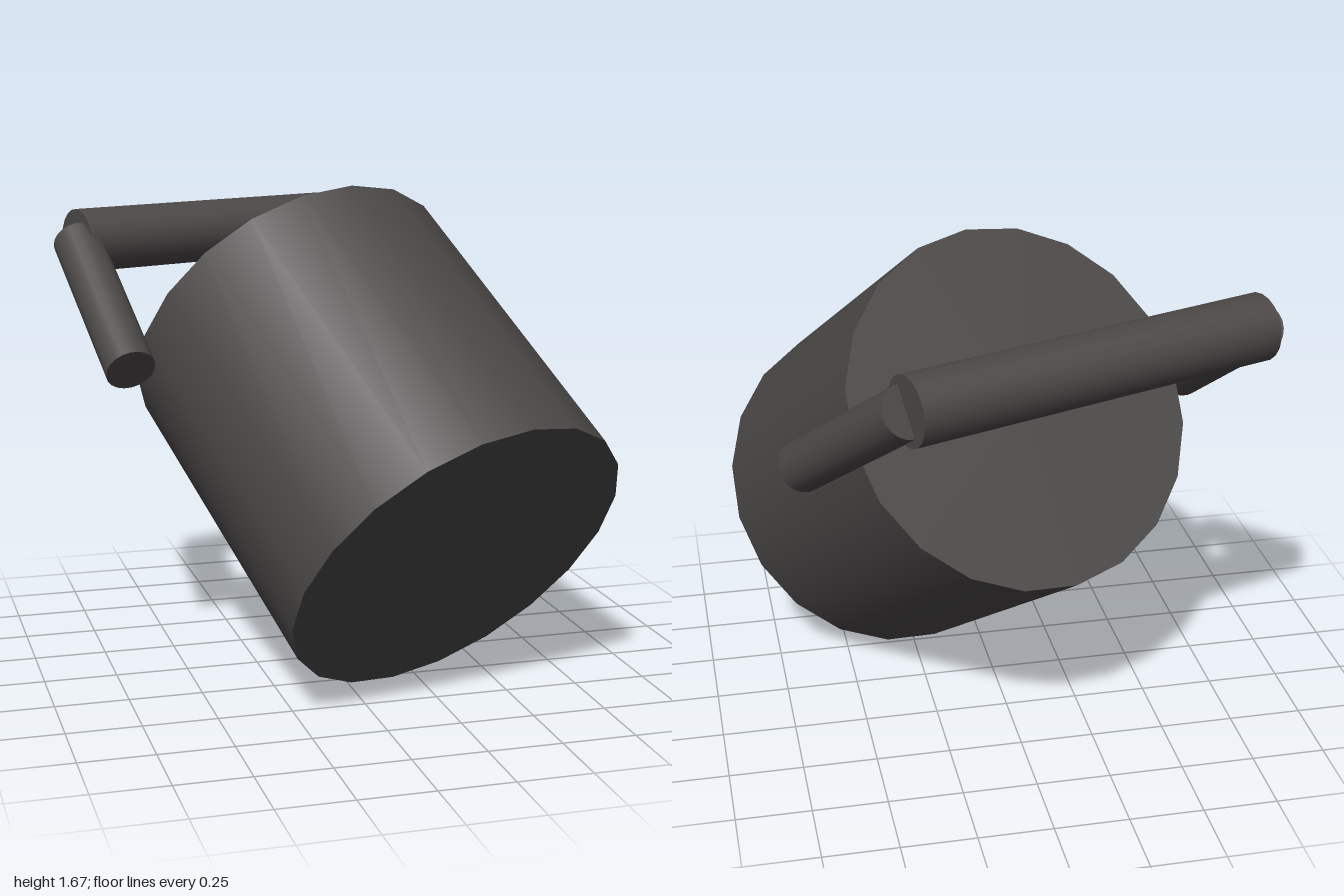
import * as THREE from 'three';

const SIDES = 20;

export function createModel() {
  const model = new THREE.Group();
  model.name = 'tiltedWeight';
  const darkGrey = new THREE.MeshStandardMaterial({ color: 0x4c4848 });
  darkGrey.name = 'dark grey';

  // Closed cylinder running from point a to point b
  function rod(name, a, b, radius) {
    const dir = b.clone().sub(a);
    const mesh = new THREE.Mesh(new THREE.CylinderGeometry(radius, radius, dir.length(), SIDES), darkGrey);
    mesh.name = name;
    mesh.position.copy(a).add(b).multiplyScalar(0.5);
    mesh.quaternion.setFromUnitVectors(new THREE.Vector3(0, 1, 0), dir.normalize());
    return mesh;
  }

  // Everything is built upright, then the whole body is tilted
  const tilted = new THREE.Group();
  tilted.name = 'tiltedBody';
  const v = (x, y) => new THREE.Vector3(x, y, 0);

  // Drum
  tilted.add(rod('drum', v(0, -0.583), v(0, 0.583), 0.614));

  // Handle: a grip bar and two splayed arms
  const handle = new THREE.Group();
  handle.name = 'handle';
  handle.add(rod('gripBar', v(-0.645, 1.08), v(0.645, 1.08), 0.112));
  for (const s of [-1, 1]) {
    handle.add(rod(s < 0 ? 'rightArm' : 'leftArm', v(s * 0.738, 0.433), v(s * 0.645, 1.08), 0.085));
  }
  tilted.add(handle);

  // Tilt: grip stays level while the drum axis leans back
  const axis = new THREE.Vector3(-0.275, 0.574, -0.771).normalize();
  const side = new THREE.Vector3().crossVectors(axis, new THREE.Vector3(0, 1, 0)).normalize();
  if (side.x < 0) side.negate();
  const depth = new THREE.Vector3().crossVectors(side, axis);
  tilted.quaternion.setFromRotationMatrix(new THREE.Matrix4().makeBasis(side, axis, depth));
  tilted.position.set(0.125, 0.838, 0.157);
  model.add(tilted);
  return model;
}
